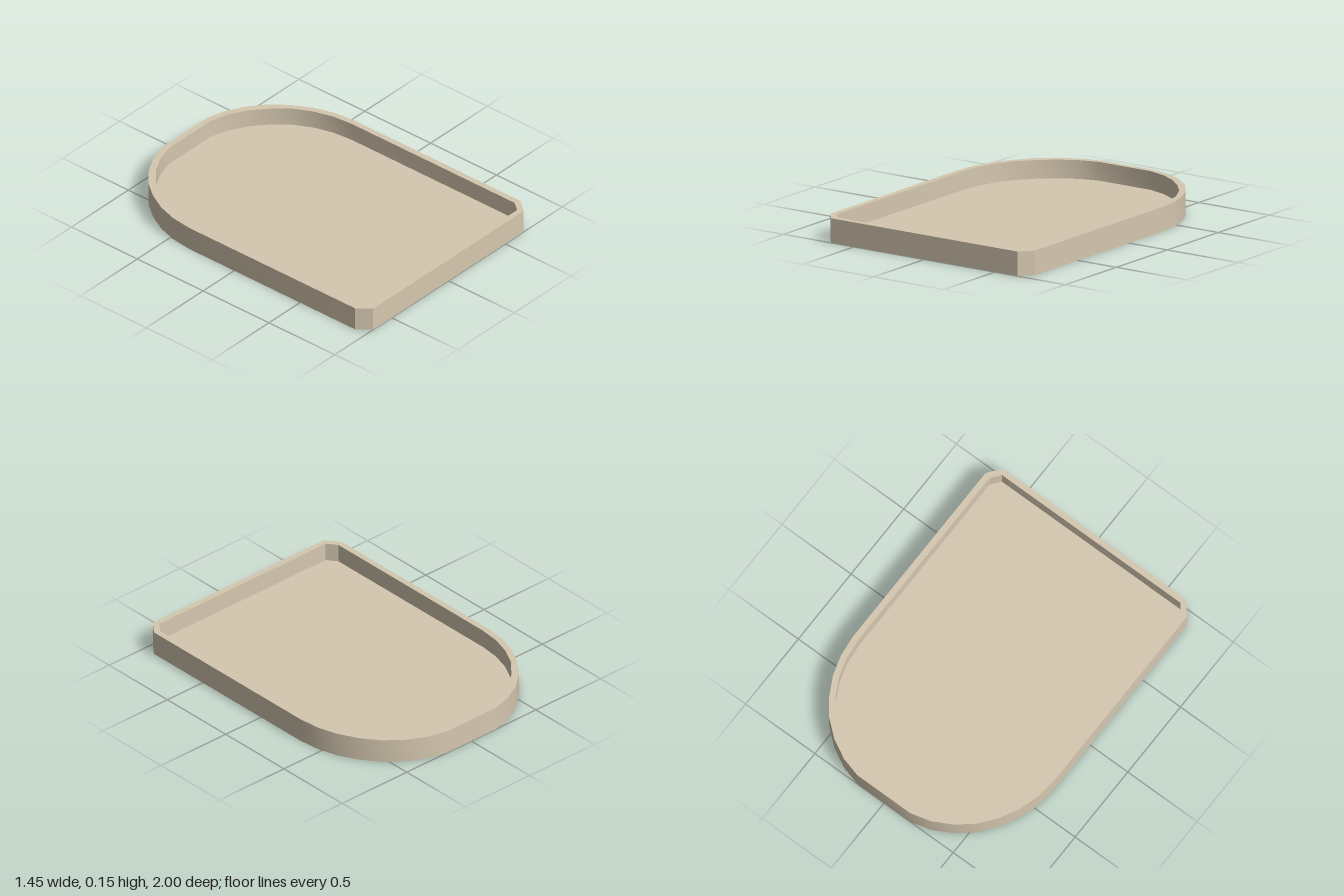
import * as THREE from 'three';
import { toCreasedNormals } from 'three/addons/utils/BufferGeometryUtils.js';

const HEIGHT = 0.146;
const FLOOR = 0.035;

// Half outlines as [x, z], from the arched back round to the chamfered front
const OUTER = [[0.19, -1], [0.312, -0.968], [0.43, -0.905], [0.533, -0.82], [0.613, -0.715],
  [0.674, -0.6], [0.712, -0.475], [0.727, -0.34], [0.727, 0.918], [0.662, 1]];
const INNER = [[0.182, -0.965], [0.296, -0.932], [0.404, -0.873], [0.5, -0.79], [0.585, -0.69],
  [0.642, -0.58], [0.677, -0.46], [0.69, -0.33], [0.69, 0.905], [0.645, 0.965]];

// Mirror a half outline into a closed loop at height y
function loop(half, y) {
  const mirrored = half.map(([x, z]) => [-x, z]).reverse();
  return [...half, ...mirrored].map(([x, z]) => [x, y, z]);
}

function trayGeometry() {
  const rings = [loop(OUTER, 0), loop(OUTER, HEIGHT), loop(INNER, HEIGHT), loop(INNER, FLOOR)];
  const n = rings[0].length;
  const positions = [];
  const tri = (a, b, c) => positions.push(...a, ...b, ...c);

  // Outer wall, rim and inner wall
  for (let r = 0; r < 3; r++) {
    for (let i = 0; i < n; i++) {
      const j = (i + 1) % n;
      tri(rings[r][i], rings[r + 1][i], rings[r + 1][j]);
      tri(rings[r][i], rings[r + 1][j], rings[r][j]);
    }
  }
  // Underside and floor
  const [under, , , floor] = rings;
  for (let i = 1; i < n - 1; i++) {
    tri(under[0], under[i], under[i + 1]);
    tri(floor[0], floor[i + 1], floor[i]);
  }

  const geometry = new THREE.BufferGeometry();
  geometry.setAttribute('position', new THREE.Float32BufferAttribute(positions, 3));
  return toCreasedNormals(geometry, 0.5);
}

export function createModel() {
  const group = new THREE.Group();
  group.name = 'archedTray';
  const tray = new THREE.Mesh(trayGeometry(), new THREE.MeshStandardMaterial({ color: 0xd6c8b0 }));
  tray.name = 'tray';
  group.add(tray);
  return group;
}
